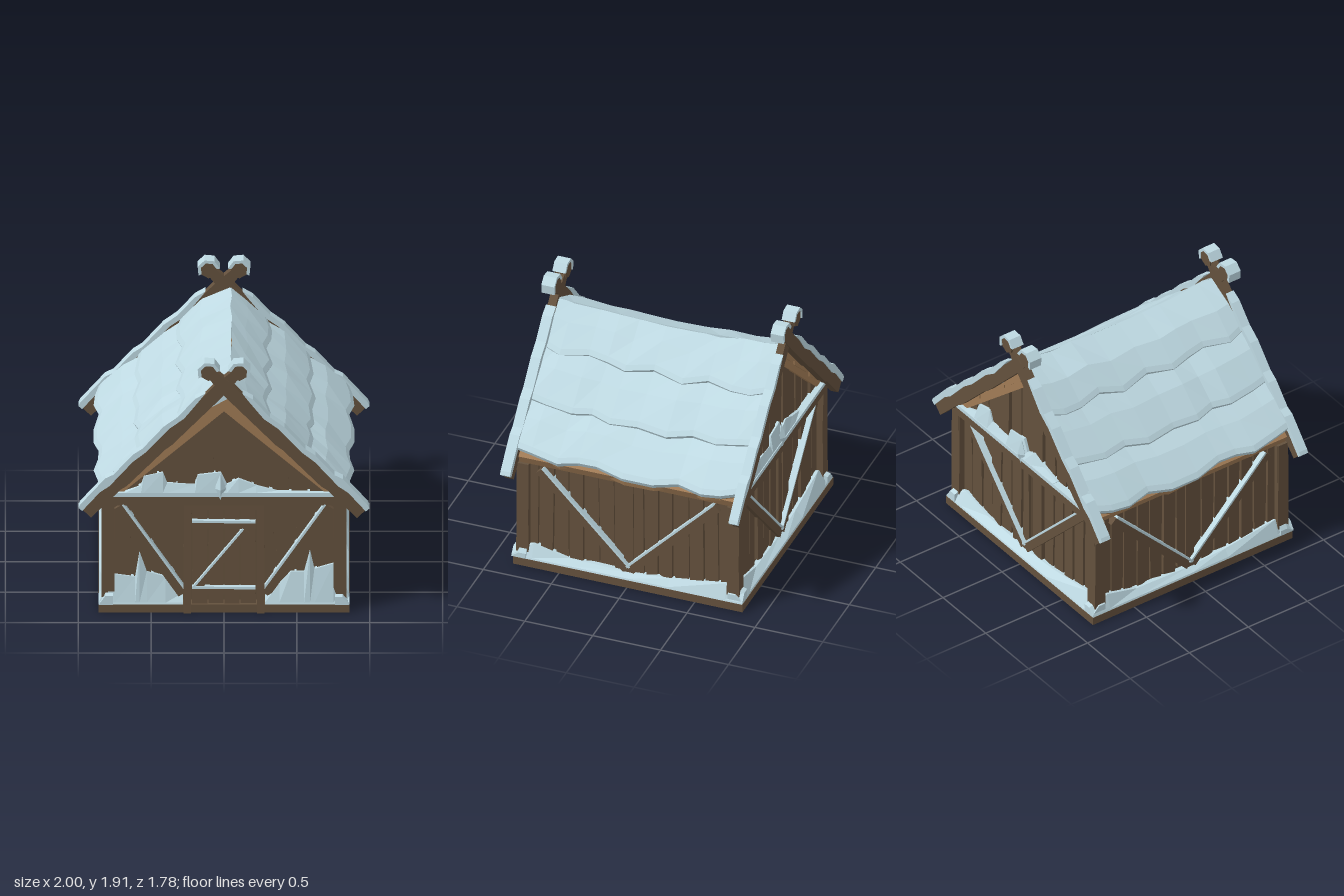
import * as THREE from 'three';

const mat = (name, color) => Object.assign(new THREE.MeshStandardMaterial({ color }), { name });

export function createModel() {
  const wood = mat('dark wood', 0x64513d);
  const straw = mat('straw thatch', 0xa07b55);
  const snow = mat('snow', 0xbed9e2);
  const house = new THREE.Group();
  house.name = 'snowyHut';

  let seed = 7;
  const rand = (a, b) => {
    seed = (seed * 16807) % 2147483647;
    return a + (b - a) * (seed / 2147483647);
  };
  const add = (parent, name, geo, material) => {
    const m = new THREE.Mesh(geo, material);
    m.name = name;
    parent.add(m);
    return m;
  };

  // Polygon in the xy plane given thickness from z0 to z1
  const slab = (parent, name, material, pts, z0, z1) => {
    const shape = new THREE.Shape(pts.map(p => new THREE.Vector2(p[0], p[1])));
    const geo = new THREE.ExtrudeGeometry(shape, { depth: z1 - z0, bevelEnabled: false });
    return add(parent, name, geo.translate(0, 0, z0), material);
  };

  // Faceted solid through a row of closed cross-sections
  const loft = (parent, name, material, loops) => {
    let tris = [];
    const n = loops[0].length;
    for (let i = 0; i < loops.length - 1; i++) {
      for (let j = 0; j < n; j++) {
        const k = (j + 1) % n, A = loops[i], B = loops[i + 1];
        tris.push([A[j], B[j], B[k]], [A[j], B[k], A[k]]);
      }
    }
    const first = loops[0], last = loops[loops.length - 1];
    for (let j = 1; j < n - 1; j++) {
      tris.push([first[0], first[j], first[j + 1]], [last[0], last[j + 1], last[j]]);
    }
    const volume = tris.reduce((s, [a, b, c]) => s +
      a[0] * (b[1] * c[2] - b[2] * c[1]) + a[1] * (b[2] * c[0] - b[0] * c[2]) +
      a[2] * (b[0] * c[1] - b[1] * c[0]), 0);
    if (volume < 0) tris = tris.map(([a, b, c]) => [a, c, b]);
    const geo = new THREE.BufferGeometry();
    geo.setAttribute('position', new THREE.Float32BufferAttribute(tris.flat(2), 3));
    geo.computeVertexNormals();
    return add(parent, name, geo, material);
  };

  // Straight timber from a to b, with an optional snow strip on its upper side
  const timber = (parent, name, a, b, width, z0, z1, cap = 0) => {
    const dx = b[0] - a[0], dy = b[1] - a[1], len = Math.hypot(dx, dy);
    let nx = -dy / len, ny = dx / len;
    if (ny < 0) { nx = -nx; ny = -ny; }
    const strip = (v0, v1) => [[a, v0], [b, v0], [b, v1], [a, v1]]
      .map(([p, v]) => [p[0] + nx * v, p[1] + ny * v]);
    slab(parent, name, wood, strip(-width / 2, width / 2 - cap), z0, z1);
    if (cap) slab(parent, name + 'Snow', snow, strip(width / 2 - cap, width / 2), z0, z1 + 0.008);
  };

  // Base and solid body of the hut
  add(house, 'base', new THREE.BoxGeometry(1.72, 0.06, 1.69).translate(0, 0.03, -0.008), wood);
  slab(house, 'body', wood, [[-0.78, 0.05], [0.78, 0.05], [0.78, 0.84], [0, 1.54], [-0.78, 0.84]], -0.76, 0.76);

  // Snow drift against a wall: list of [x, height]
  const drift = (parent, pts, y0, zFront, zWall, rim) =>
    loft(parent, 'snowDrift', snow, pts.map(([x, h]) => [
      [x, y0, zWall - 0.05], [x, y0, zFront], [x, y0 + rim, zFront - 0.004],
      [x, h, zWall + 0.004], [x, h, zWall - 0.05]]));

  // One wall facing local +z: planks and corner posts
  const makeWall = (name, angle, half, face, count) => {
    const g = new THREE.Group();
    g.name = name;
    g.rotation.y = angle;
    house.add(g);
    const step = 1.54 / count;
    for (let i = 0; i < count; i++) {
      const x = -0.77 + i * step;
      const w = () => rand(0.002, 0.016);
      slab(g, 'wallPlank', wood, [[x + w(), rand(0.08, 0.14)], [x + step - w(), rand(0.08, 0.14)],
        [x + step - w(), 0.82], [x + w(), 0.82]], face - 0.05, face - rand(0, 0.018));
    }
    for (const s of [-1, 1]) {
      slab(g, 'cornerPost', wood, [[s * (half - 0.09), 0.14], [s * half, 0.1], [s * (half - 0.005), 0.82],
        [s * (half - 0.085), 0.82]], face - 0.06, face + 0.03);
    }
    return g;
  };
  const front = makeWall('frontWall', 0, 0.84, 0.79, 11);
  const back = makeWall('backWall', Math.PI, 0.84, 0.79, 13);
  const sides = [makeWall('leftWall', Math.PI / 2, 0.82, 0.81, 14),
    makeWall('rightWall', -Math.PI / 2, 0.82, 0.81, 14)];

  // Diagonal braces and low drifts on the plain walls
  for (const g of [back, ...sides]) {
    const face = g === back ? 0.79 : 0.81;
    for (const s of [-1, 1]) {
      timber(g, 'brace', [s * 0.65, 0.79], [s * 0.01, 0.13], 0.075, face - 0.03, face + 0.022, 0.015);
    }
    slab(g, 'middlePost', wood, [[-0.035, 0.1], [0.035, 0.1], [0.03, 0.82], [-0.03, 0.82]], face - 0.03, face + 0.006);
    drift(g, [[-0.85, 0.12], [-0.7, 0.17], [-0.45, 0.11], [0, 0.1], [0.3, 0.12], [0.72, 0.18], [0.85, 0.13]],
      0.06, g === back ? 0.85 : 0.858, face, 0.012);
  }

  // Front braces and drifts either side of the door
  for (const s of [-1, 1]) {
    timber(front, 'brace', [s * 0.72, 0.79], [s * 0.28, 0.13], 0.075, 0.76, 0.815, 0.015);
  }
  drift(front, [[-0.86, 0.1], [-0.82, 0.16], [-0.75, 0.27], [-0.61, 0.25], [-0.58, 0.44], [-0.53, 0.29], [-0.4, 0.25],
    [-0.28, 0.13]], 0.06, 0.84, 0.792, 0.012);
  drift(front, [[0.28, 0.13], [0.38, 0.2], [0.46, 0.29], [0.55, 0.29], [0.59, 0.45], [0.62, 0.31], [0.75, 0.35],
    [0.82, 0.16], [0.86, 0.1]], 0.06, 0.84, 0.792, 0.012);

  // Door with frame and Z-shaped bracing, leaning slightly inward
  const door = new THREE.Group();
  door.name = 'door';
  door.position.z = 0.853;
  door.rotation.x = -0.035;
  front.add(door);
  for (const s of [-1, 1]) {
    slab(door, 'doorPost', wood, [[s * 0.225, 0], [s * 0.278, 0], [s * 0.275, 0.8], [s * 0.225, 0.8]], -0.08, 0);
  }
  slab(door, 'lintel', wood, [[-0.225, 0.765], [0.225, 0.765], [0.225, 0.81], [-0.225, 0.81]], -0.06, -0.012);
  for (let i = 0; i < 4; i++) {
    const x = -0.222 + i * 0.111;
    slab(door, 'doorPlank', wood, [[x + 0.003, 0.003], [x + 0.108, 0.003], [x + rand(0.1, 0.108), 0.76],
      [x + rand(0.003, 0.01), 0.76]], -0.06, -rand(0.022, 0.034));
  }
  timber(door, 'doorBar', [-0.22, 0.66], [0.215, 0.655], 0.06, -0.04, -0.006, 0.017);
  timber(door, 'doorBar', [-0.22, 0.17], [0.215, 0.165], 0.06, -0.04, -0.006, 0.017);
  timber(door, 'doorDiagonal', [-0.19, 0.18], [0.15, 0.61], 0.06, -0.04, -0.01, 0.014);

  // Gable ends: planks, tie beam, drift, crossed roof boards
  const makeGable = (name, angle) => {
    const g = new THREE.Group();
    g.name = name;
    g.rotation.y = angle;
    house.add(g);
    const n = 11, step = 1.42 / n;
    const top = x => 1.63 - Math.abs(x);
    for (let i = 0; i < n; i++) {
      const x0 = -0.71 + i * step + rand(0.002, 0.014), x1 = -0.71 + (i + 1) * step - rand(0.002, 0.014);
      const pts = [[x0, 0.85], [x1, 0.85], [x1 + rand(-0.01, 0.01), top(x1)]];
      if (x0 * x1 < 0) pts.push([0, top(0)]);
      slab(g, 'gablePlank', wood, [...pts, [x0, top(x0)]], 0.74, 0.795 - rand(0, 0.02));
    }
    slab(g, 'tieBeam', wood, [[-0.83, 0.8], [0.83, 0.8], [0.78, 0.868], [-0.78, 0.868]], 0.75, 0.823);
    slab(g, 'tieBeamSnow', snow, [[-0.78, 0.868], [0.78, 0.868], [0.755, 0.896], [-0.755, 0.896]], 0.75, 0.83);
    drift(g, [[-0.68, 0.9], [-0.57, 0.94], [-0.55, 1.01], [-0.42, 1.04], [-0.39, 0.96], [-0.2, 0.95], [-0.18, 1.02],
      [-0.02, 1.04], [0.02, 0.95], [0.1, 0.99], [0.22, 0.94], [0.36, 0.9]], 0.89, 0.828, 0.795, 0.006);
    const lump = add(g, 'snowLump', new THREE.OctahedronGeometry(1, 0).scale(0.04, 0.11, 0.035), snow);
    lump.position.set(-0.025, 0.925, 0.815);

    for (const s of [-1, 1]) {
      // t runs up the slope, v across it
      const P = (t, v) => [s * (0.955 + (v - t) * 0.7071), 0.77 + (v + t) * 0.7071];
      const z = s > 0 ? 0.008 : 0;
      const board = [[0, -0.06], [0.3, -0.056], [0.34, -0.066], [0.72, -0.058], [0.78, -0.066], [1.2, -0.056],
        [1.36, -0.05], [1.46, -0.035], [1.46, 0.035], [1.34, 0.045], [1.2, 0.04], [0, 0.035]];
      slab(g, 'roofBoard', wood, board.map(p => P(...p)), 0.81, 0.862 + z);
      const cap = [[-0.006, 0.02], [0.18, 0.034], [0.26, 0.02], [0.5, 0.036], [0.62, 0.024], [0.86, 0.036], [0.98, 0.018],
        [1.16, 0.04], [1.22, 0.05], [1.14, 0.07], [0.96, 0.058], [0.84, 0.075], [0.62, 0.06], [0.54, 0.075],
        [0.34, 0.062], [0.28, 0.082], [0.02, 0.064], [-0.008, 0.055]];
      slab(g, 'roofBoardSnow', snow, cap.map(p => P(...p)), 0.804, 0.87 + z);

      // Carved knob on the board end, with a snow crust round its top
      const c = P(1.5, 0);
      const polar = (r, deg) => [c[0] - s * r * Math.cos(deg * Math.PI / 180), c[1] + r * Math.sin(deg * Math.PI / 180)];
      const angles = [-30, 20, 70, 120, 170, 215];
      slab(g, 'knob', wood, [...angles, 270].map(a => polar(0.062, a)), 0.8, 0.885);
      const arc = angles.slice(0, 5);
      slab(g, 'knobSnow', snow, [...arc.map(a => polar(0.08, a)), ...arc.map(a => polar(0.056, a)).reverse()], 0.796, 0.892);
    }
  };
  makeGable('frontGable', 0);
  makeGable('backGable', Math.PI);

  // Thatch core of the roof
  slab(house, 'thatchCore', straw, [[0, 1.6], [0.85, 0.88], [0.82, 0.82], [0.76, 0.83], [0, 1.5], [-0.76, 0.83],
    [-0.82, 0.82], [-0.85, 0.88]], -0.8, 0.8);

  // Three overlapping courses per side: snow blanket over straw, with wavy lower edges
  const stations = [-0.82, -0.7, -0.56, -0.38, -0.2, 0.02, 0.22, 0.36, 0.5, 0.7, 0.82];
  const waves = [
    [-0.01, 0.02, 0.015, -0.02, 0.025, -0.02, 0.02, -0.005, -0.02, 0.02, -0.01],
    [-0.015, 0, 0.015, -0.01, 0.03, 0.005, 0.02, -0.01, 0.015, 0, -0.015],
    [-0.03, 0, 0.01, -0.025, 0.01, 0.01, -0.025, -0.02, 0.01, -0.015, -0.03]];
  const courses = [[0.0, 1.665, 0.31, 1.44], [0.24, 1.45, 0.6, 1.18], [0.53, 1.18, 0.885, 0.935]];
  for (const s of [-1, 1]) {
    courses.forEach(([xa, ya, xb, yb], i) => {
      const snowLoops = [], strawLoops = [];
      stations.forEach((z, k) => {
        const d = waves[i][k], sag = 0.06 * z * z - 0.01 + rand(-0.006, 0.006);
        const x = xb + d, y = yb + sag * 0.6 - d * 0.8;
        const top = ya + sag, start = i ? s * xa : 0.05 + rand(-0.008, 0.008);
        const mid = (xa + x) / 2, hump = (top + y) / 2 + 0.02 + rand(-0.008, 0.012);
        snowLoops.push([[start, top, z], [s * mid, hump, z], [s * (x - 0.025), y + 0.018, z], [s * x, y - 0.015, z],
          [s * (x - 0.015), y - 0.045, z], [s * mid, hump - 0.09, z], [start, top - 0.08, z]]);
        const zs = z * 0.985, e = x - 0.02 - rand(0, 0.025);
        strawLoops.push([[s * xa, top - 0.05, zs], [s * e, y - 0.035, zs], [s * (e - 0.015), y - 0.075 - rand(0, 0.02), zs],
          [s * (e - 0.08), y - 0.06, zs], [s * xa, top - 0.13, zs]]);
      });
      loft(house, 'roofSnow', snow, snowLoops);
      loft(house, 'roofThatch', straw, strawLoops);
    });
  }
  return house;
}
